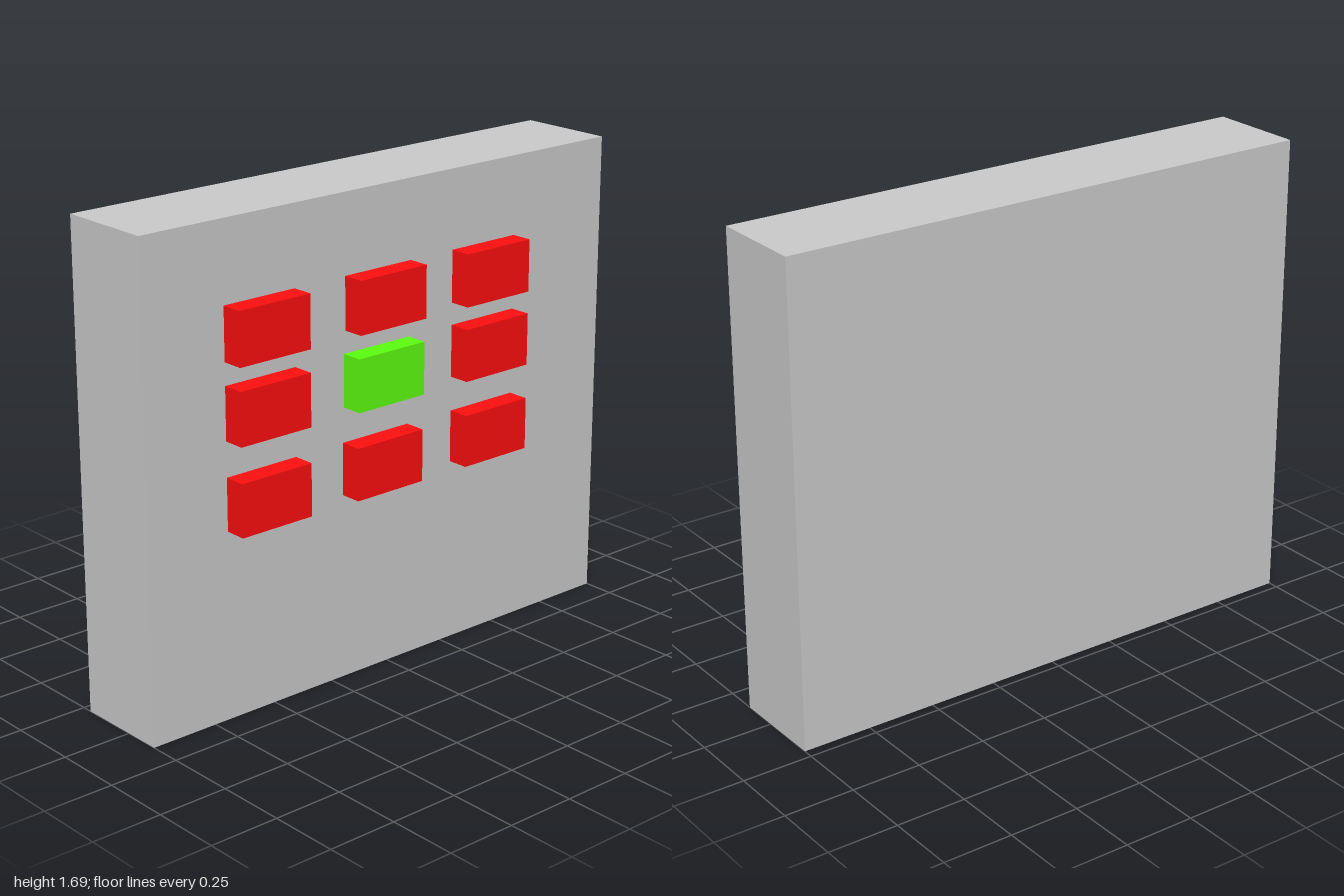
import * as THREE from 'three';

export function createModel() {
  const model = new THREE.Group();
  const grey = new THREE.MeshStandardMaterial({ color: 0xcccccc });
  const red = new THREE.MeshStandardMaterial({ color: 0xff0f0f });
  const green = new THREE.MeshStandardMaterial({ color: 0x5cff0f });

  const addBox = (name, size, position, material) => {
    const mesh = new THREE.Mesh(new THREE.BoxGeometry(...size), material);
    mesh.name = name;
    mesh.position.set(...position);
    model.add(mesh);
  };

  // Upright slab
  const faceX = 0.136, backX = -0.213, height = 1.69;
  addBox('panel', [faceX - backX, height, 2], [(faceX + backX) / 2, height / 2, 0], grey);

  // Three rows of buttons on the +x face; the middle column drifts slightly
  const depth = 0.077;
  const rows = [
    { name: 'top', y: 1.32, middleZ: 0.043 },
    { name: 'middle', y: 1.058, middleZ: 0.05 },
    { name: 'bottom', y: 0.752, middleZ: 0.055 },
  ];
  for (const { name, y, middleZ } of rows) {
    const columns = { Front: 0.541, Centre: middleZ, Back: -0.432 };
    for (const [column, z] of Object.entries(columns)) {
      const isCentre = name === 'middle' && column === 'Centre';
      addBox(`${name}${column}Button`, [depth, 0.184, 0.286],
        [faceX + depth / 2, y, z], isCentre ? green : red);
    }
  }
  return model;
}
